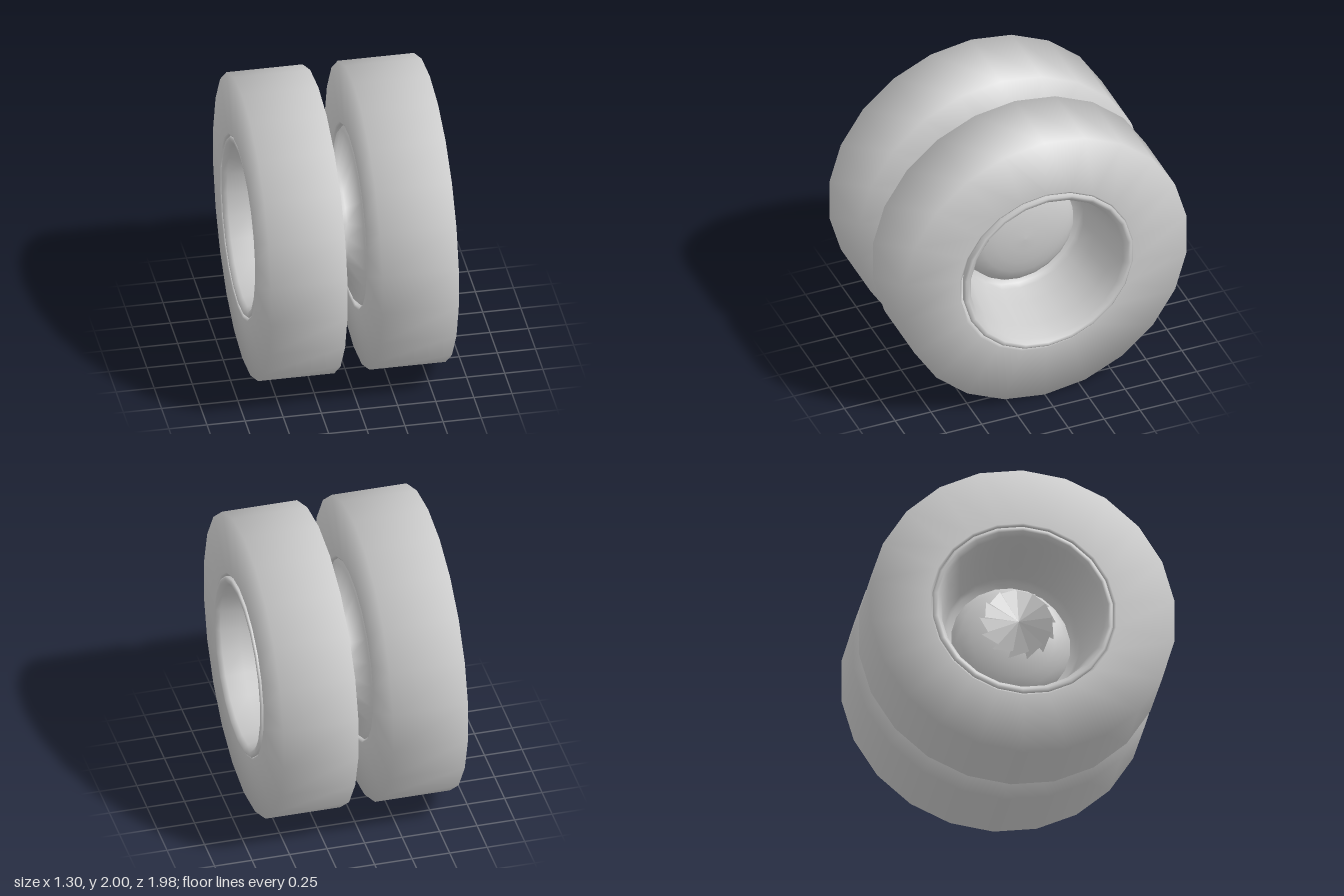
import * as THREE from 'three';

const SIDES = 22;
const grey = new THREE.MeshStandardMaterial({ color: 0xcccccc });
const thin = new THREE.MeshStandardMaterial({ color: 0xcccccc, side: THREE.DoubleSide });
const pleat = new THREE.MeshStandardMaterial({ color: 0xcccccc, side: THREE.DoubleSide, flatShading: true });

// Revolve [x, radius] pairs around the x axis, with a vertex at the top.
function turned(name, profile, material = grey) {
  const points = profile.map(([x, r]) => new THREE.Vector2(r, x));
  const geometry = new THREE.LatheGeometry(points, SIDES, Math.PI / 2);
  geometry.rotateZ(-Math.PI / 2);
  const mesh = new THREE.Mesh(geometry, material);
  mesh.name = name;
  return mesh;
}

// Small pinwheel of overlapping blades around the axle
function makePinwheel() {
  const blades = 13, positions = [];
  for (let i = 0; i < blades; i++) {
    const a = (i / blades) * Math.PI * 2;
    const b = a + 0.55;
    positions.push(0.46, 0, 0);
    positions.push(0.42, 0.25 * Math.cos(a), 0.25 * Math.sin(a));
    positions.push(0.47, 0.22 * Math.cos(b), 0.22 * Math.sin(b));
  }
  const geometry = new THREE.BufferGeometry();
  geometry.setAttribute('position', new THREE.Float32BufferAttribute(positions, 3));
  geometry.computeVertexNormals();
  const mesh = new THREE.Mesh(geometry, pleat);
  mesh.name = 'hubPinwheel';
  return mesh;
}

// Rim lip, deep bowl and domed floor, opening towards +x
function makeHub(name) {
  const hub = new THREE.Group();
  hub.name = name;
  hub.add(turned('rimBowl', [
    [0.6, 0.585], [0.64, 0.592], [0.65, 0.58], [0.648, 0.56], [0.62, 0.535],
    [0.5, 0.51], [0.3, 0.475], [0.17, 0.445], [0.14, 0.425], [0.12, 0.39],
  ], thin));
  const dome = [];
  for (let i = 0; i <= 6; i++) {
    const t = (i / 6) * Math.PI / 2;
    dome.push([0.12 + 0.14 * Math.sin(t), i === 6 ? 0 : 0.39 * Math.cos(t)]);
  }
  hub.add(turned('hubDome', dome));
  return hub;
}

export function createModel() {
  const model = new THREE.Group();
  model.name = 'dualWheel';

  // Two broad tyres
  for (const [name, x] of [['rightTyre', -0.375], ['leftTyre', 0.355]]) {
    const tyre = turned(name, [
      [0, 0.6], [-0.27, 0.595], [-0.28, 0.61], [-0.25, 1],
      [0.25, 1], [0.28, 0.61], [0.27, 0.595], [0, 0.6],
    ]);
    tyre.position.x = x;
    model.add(tyre);
  }

  // Pinched neck joining the wheels
  model.add(turned('neck', [[-0.12, 0.595], [-0.095, 0.56], [0, 0.355], [0.075, 0.56], [0.11, 0.595]], thin));

  // Hubs on both ends
  const leftHub = makeHub('leftHub');
  leftHub.position.z = -0.01;
  const rightHub = makeHub('rightHub');
  rightHub.rotation.y = Math.PI;
  rightHub.add(makePinwheel());
  model.add(leftHub, rightHub);

  // Centre the wheel pair and stand it on the ground
  model.position.y = 1;
  const root = new THREE.Group();
  root.name = 'wheelAssembly';
  root.add(model);
  return root;
}
